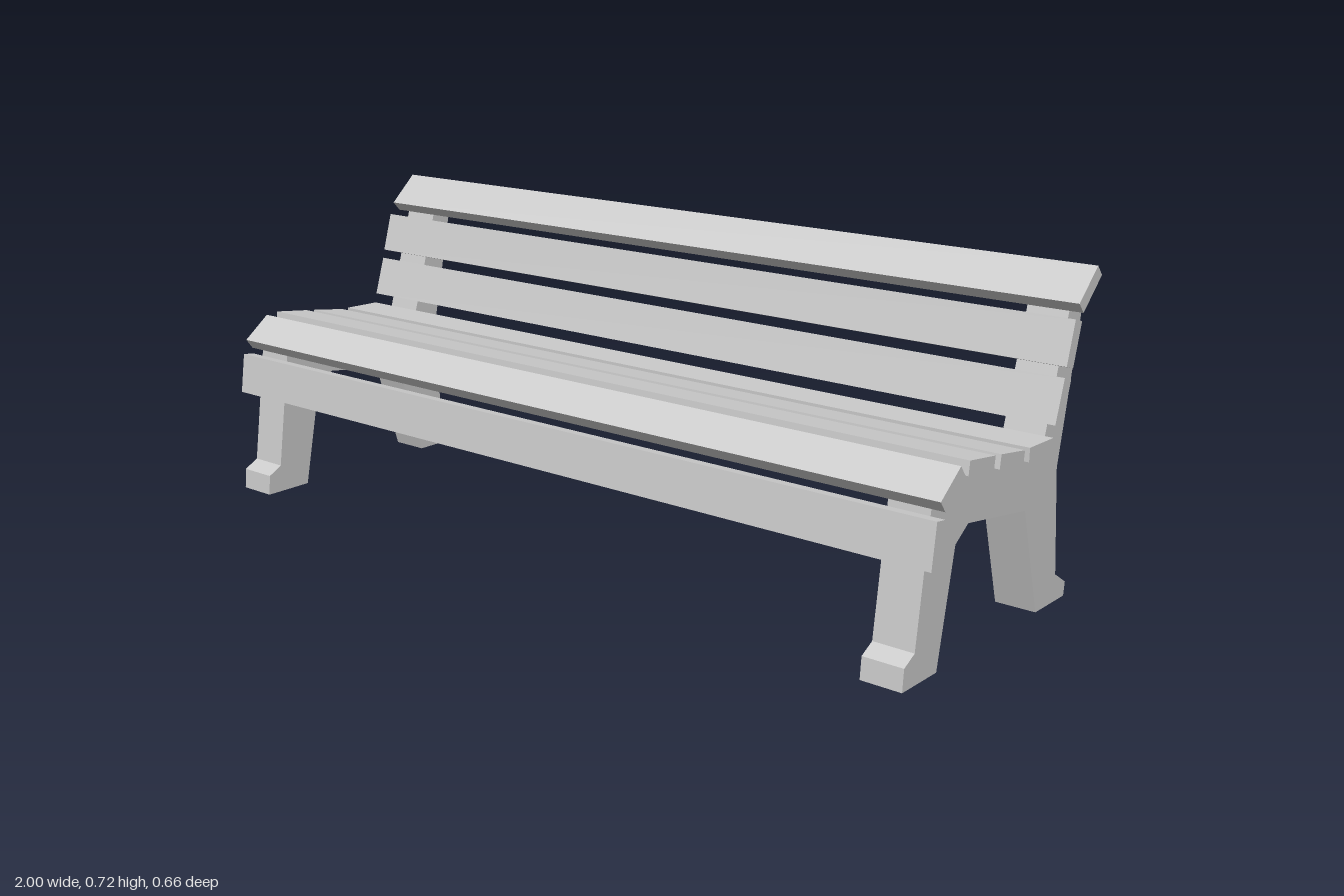
import * as THREE from 'three';

const material = new THREE.MeshStandardMaterial({ color: 0xcccccc, flatShading: true });

// Side outline of an end frame as [z, y]
const FRAME = [
  [0.332, 0], [0.328, 0.048], [0.292, 0.067], [0.254, 0.349], [0.193, 0.398],
  [-0.141, 0.354], [-0.185, 0.377], [-0.263, 0.638], [-0.311, 0.682], [-0.329, 0.682],
  [-0.25, 0.303], [-0.275, 0.061], [-0.323, 0.031], [-0.319, 0], [-0.194, 0],
  [-0.12, 0.243], [0.112, 0.278], [0.158, 0.247], [0.208, 0],
];
const FRAME_WIDTH = 0.094;
const FRAME_X = 0.92;

// Each plank: name, then the midline of its cross-section as z1, y1, z2, y2
const PLANKS = [
  ['frontApronPlank', 0.274, 0.333, 0.287, 0.237],
  ['frontEdgePlank', 0.201, 0.411, 0.270, 0.358],
  ['seatPlankFront', 0.179, 0.411, 0.081, 0.398],
  ['seatPlankMiddle', 0.058, 0.395, -0.038, 0.381],
  ['seatPlankRear', -0.060, 0.381, -0.159, 0.379],
  ['backPlankLower', -0.207, 0.507, -0.178, 0.414],
  ['backPlankUpper', -0.239, 0.622, -0.212, 0.529],
  ['topRailPlank', -0.320, 0.712, -0.247, 0.645],
];
const PLANK_LENGTH = 2;
const PLANK_THICKNESS = 0.03;

function makePlank([name, z1, y1, z2, y2]) {
  const dz = z2 - z1, dy = y2 - y1;
  const plank = new THREE.Mesh(
    new THREE.BoxGeometry(PLANK_LENGTH, PLANK_THICKNESS, Math.hypot(dz, dy)), material);
  plank.name = name;
  plank.position.set(0, (y1 + y2) / 2, (z1 + z2) / 2);
  plank.rotation.x = -Math.atan2(dy, dz);
  return plank;
}

export function createModel() {
  const bench = new THREE.Group();
  bench.name = 'bench';

  // End frames: feet, legs, seat bearer and back post in one piece
  const shape = new THREE.Shape(FRAME.map(([z, y]) => new THREE.Vector2(z, y)));
  const frameGeometry = new THREE.ExtrudeGeometry(shape, { depth: FRAME_WIDTH, bevelEnabled: false });
  frameGeometry.translate(0, 0, -FRAME_WIDTH / 2);
  frameGeometry.rotateY(-Math.PI / 2);
  for (const side of [1, -1]) {
    const frame = new THREE.Mesh(frameGeometry, material);
    frame.name = side > 0 ? 'leftFrame' : 'rightFrame';
    frame.position.x = side * FRAME_X;
    bench.add(frame);
  }

  // Planks of the seat and backrest
  for (const spec of PLANKS) bench.add(makePlank(spec));

  return bench;
}
